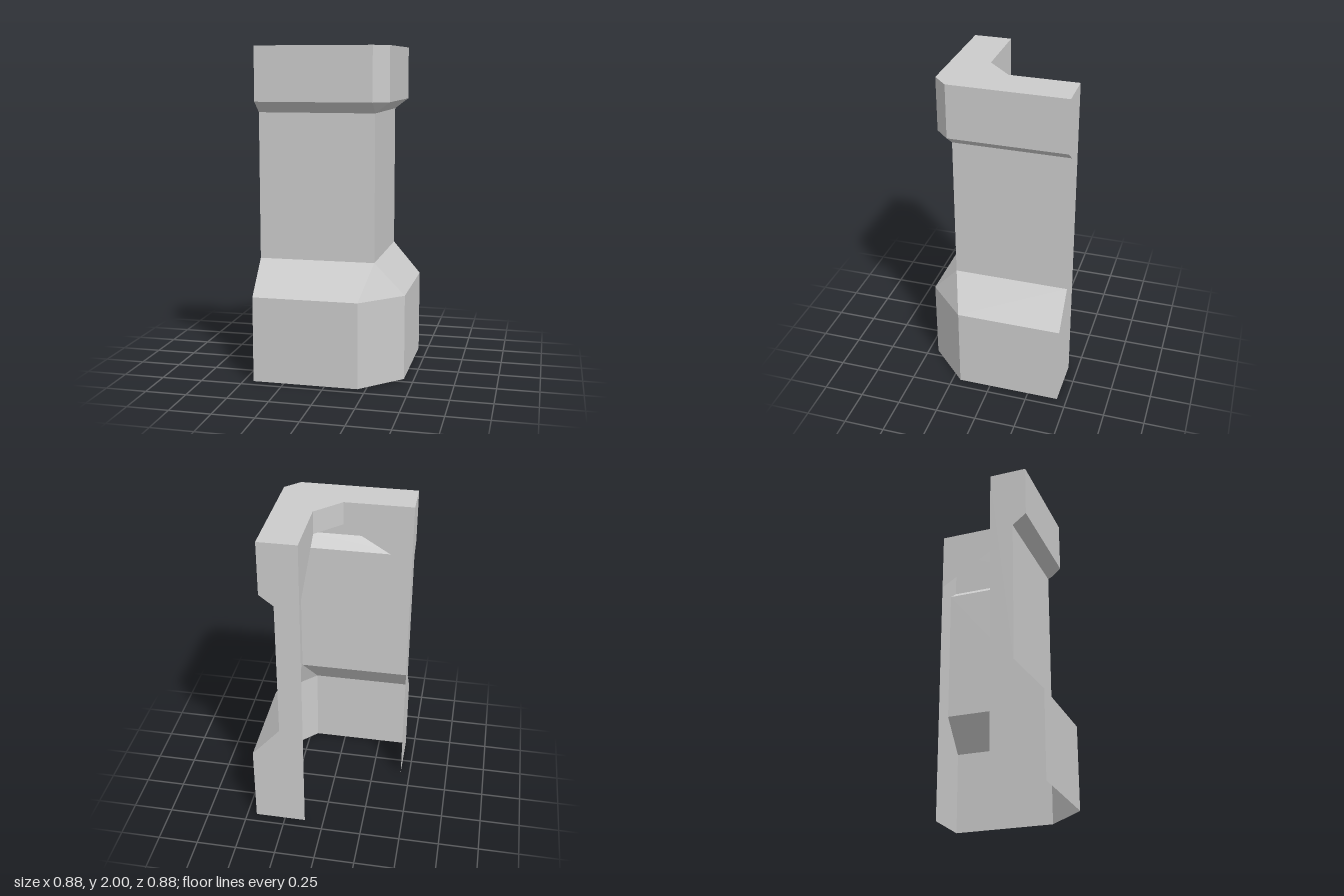
import * as THREE from 'three';

const END = 0.44;     // where both arms are cut off
const INNER = 0.12;   // inner edge of the arms
const material = new THREE.MeshStandardMaterial({
  color: 0xcccccc, flatShading: true, side: THREE.DoubleSide,
});

// Levels of the corner: height, outer distance, start of the corner chamfer
const LEVELS = [
  [0, 0.44, 0.2],
  [0.52, 0.44, 0.2],
  [0.725, 0.265, 0.265],
  [1.61, 0.265, 0.265],
  [1.675, 0.35, 0.265],
  [2, 0.35, 0.265],
];
const NAMES = ['baseWall', 'baseSlope', 'shaftWall', 'capUnderside', 'capWall'];

// L-shaped path around the corner, from the side end to the back end
function cornerPath(outer, chamfer, heights) {
  return [[-END, outer], [chamfer, outer], [outer, chamfer], [outer, -END]]
    .map(([x, z], i) => new THREE.Vector3(x, heights[i], z));
}

// Band of faces between two paths, leaving out collapsed triangles
function band(lower, upper) {
  const points = [];
  const addTriangle = (a, b, c) => {
    if (new THREE.Triangle(a, b, c).getArea() > 1e-6) points.push(a, b, c);
  };
  for (let i = 0; i < lower.length - 1; i++) {
    addTriangle(lower[i], lower[i + 1], upper[i + 1]);
    addTriangle(lower[i], upper[i + 1], upper[i]);
  }
  const geometry = new THREE.BufferGeometry().setFromPoints(points);
  geometry.computeVertexNormals();
  return geometry;
}

export function createModel() {
  const model = new THREE.Group();
  model.name = 'cornerPillar';
  const add = (name, geometry) => {
    const mesh = new THREE.Mesh(geometry, material);
    mesh.name = name;
    model.add(mesh);
    return mesh;
  };

  // Outer shell, one band per level
  const rings = LEVELS.map(([y, outer, chamfer]) => cornerPath(outer, chamfer, [y, y, y, y]));
  NAMES.forEach((name, i) => add(name, band(rings[i], rings[i + 1])));

  // Inner apron under the top, cut diagonally towards the two ends
  const apronTop = cornerPath(INNER, -0.03, [2, 2, 2, 2]).reverse();
  const apronBottom = cornerPath(INNER, -0.03, [1.61, 1.86, 1.86, 1.61]).reverse();
  add('innerApron', band(apronBottom, apronTop));

  // Flat top
  const outline = [...rings[5], ...apronTop].map((p) => new THREE.Vector2(p.x, -p.z));
  add('top', new THREE.ShapeGeometry(new THREE.Shape(outline)).rotateX(-Math.PI / 2)
    .translate(0, 2, 0));

  // Profiled faces closing the two arms
  const profile = new THREE.Shape([
    new THREE.Vector2(INNER, 0),
    ...LEVELS.map(([y, outer]) => new THREE.Vector2(outer, y)),
    new THREE.Vector2(INNER, 2),
  ]);
  add('backEnd', new THREE.ShapeGeometry(profile).translate(0, 0, -END));
  add('sideEnd', new THREE.ShapeGeometry(profile).rotateY(-Math.PI / 2).translate(-END, 0, 0));

  return model;
}
